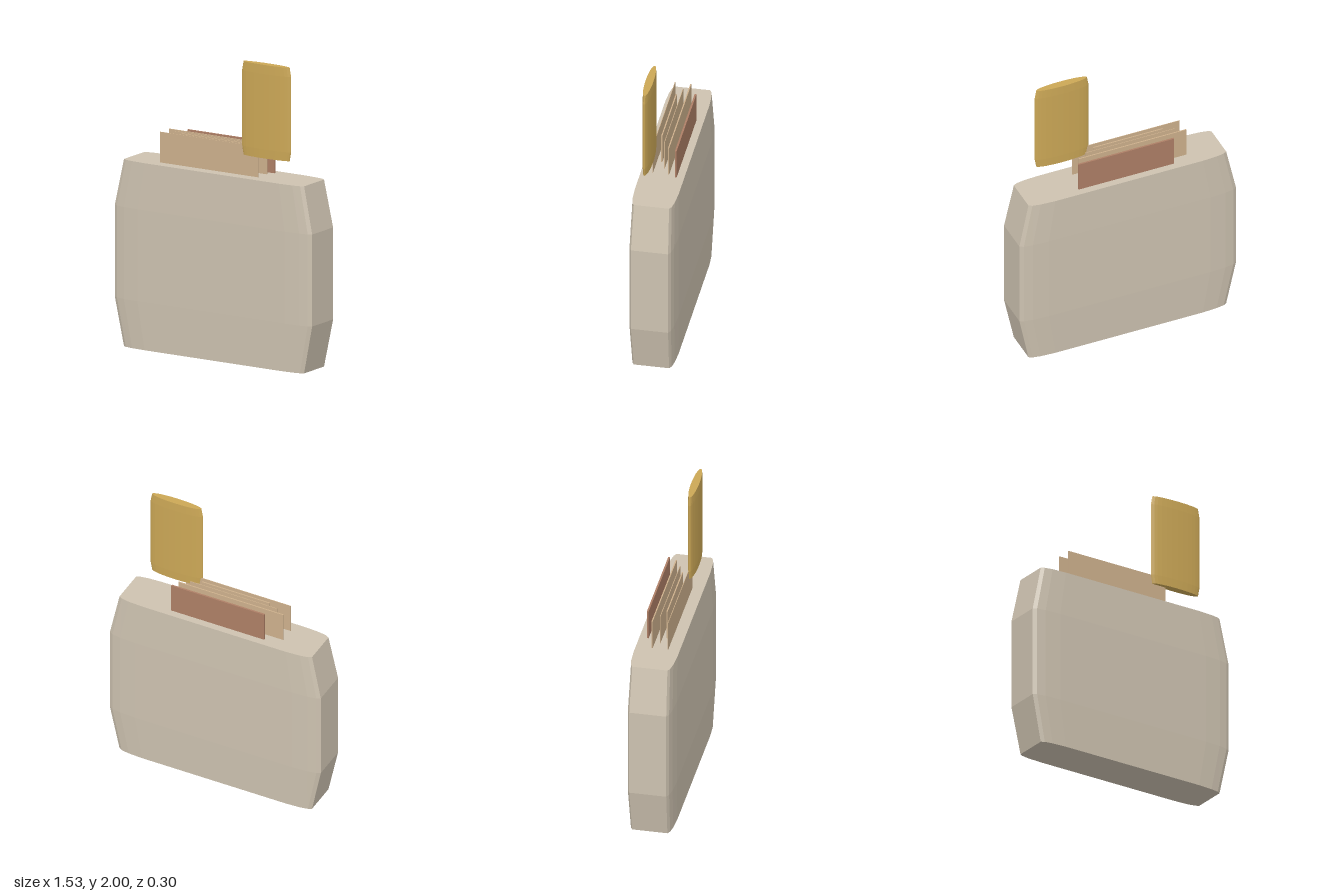
import * as THREE from 'three';

// Closed prism lofted through rings [y, scaleX, scaleZ] of one [x, z] outline, capped at both ends
function loft(outline, rings) {
  const pos = [], n = outline.length;
  const pt = (r, i) => [outline[i % n][0] * r[1], r[0], outline[i % n][1] * r[2]];
  const bottom = rings[0], top = rings[rings.length - 1];
  for (let i = 0; i < n; i++) {
    for (let k = 0; k < rings.length - 1; k++) {
      const a = pt(rings[k], i), b = pt(rings[k], i + 1);
      const c = pt(rings[k + 1], i + 1), d = pt(rings[k + 1], i);
      pos.push(...a, ...d, ...c, ...a, ...c, ...b);
    }
    pos.push(0, top[0], 0, ...pt(top, i + 1), ...pt(top, i));
    pos.push(0, bottom[0], 0, ...pt(bottom, i), ...pt(bottom, i + 1));
  }
  const g = new THREE.BufferGeometry();
  g.setAttribute('position', new THREE.Float32BufferAttribute(pos, 3));
  g.computeVertexNormals();
  return g;
}

export function createModel() {
  const group = new THREE.Group();
  const material = (name, color) => {
    const m = new THREE.MeshStandardMaterial({ color });
    m.name = name;
    return m;
  };
  const stone = material('warm stone', 0xcdc2b0);
  const tan = material('tan paper', 0xcdb08c);
  const rust = material('rust card', 0xae7f66);
  const gold = material('gold', 0xcba756);
  const add = (name, geometry, mat, x = 0, y = 0, z = 0) => {
    const mesh = new THREE.Mesh(geometry, mat);
    mesh.name = name;
    mesh.position.set(x, y, z);
    group.add(mesh);
  };

  // Flat case: softened corners, narrowing towards top and bottom
  const corner = [[0.765, 0.122], [0.74, 0.136], [0.68, 0.146], [0.57, 0.152]];
  const back = [...corner].reverse();
  const outline = [
    ...corner,
    ...back.map(([x, z]) => [-x, z]),
    ...corner.map(([x, z]) => [-x, -z]),
    ...back.map(([x, z]) => [x, -z]),
  ];
  add('caseBody', loft(outline, [[0, 0.913, 0.95], [0.32, 1, 1], [0.93, 1, 1], [1.24, 0.913, 0.95]]), stone);

  // Sheets standing in the case: left x, right x, z, thickness
  const sheets = [
    [-0.45, 0.31, 0.067, 0.004, tan],
    [-0.315, 0.175, 0.033, 0.008, tan],
    [-0.385, 0.245, 0.002, 0.004, tan],
    [-0.45, 0.31, -0.037, 0.008, tan],
    [-0.34, 0.335, -0.089, 0.012, rust],
  ];
  sheets.forEach(([x0, x1, z, t, mat], i) =>
    add('sheet' + (i + 1), new THREE.BoxGeometry(x1 - x0, 0.44, t), mat, (x0 + x1) / 2, 1.223, z));

  // Oval tab raised above the sheets
  const oval = [];
  for (let i = 0; i < 28; i++) {
    const a = (i / 28) * Math.PI * 2;
    oval.push([0.19 * Math.cos(a), 0.028 * Math.sin(a)]);
  }
  add('ovalTab', loft(oval, [[1.38, 0.94, 0.94], [1.44, 1, 1], [1.94, 1, 1], [2, 0.94, 0.94]]), gold, 0.38, 0, 0.074);

  return group;
}
